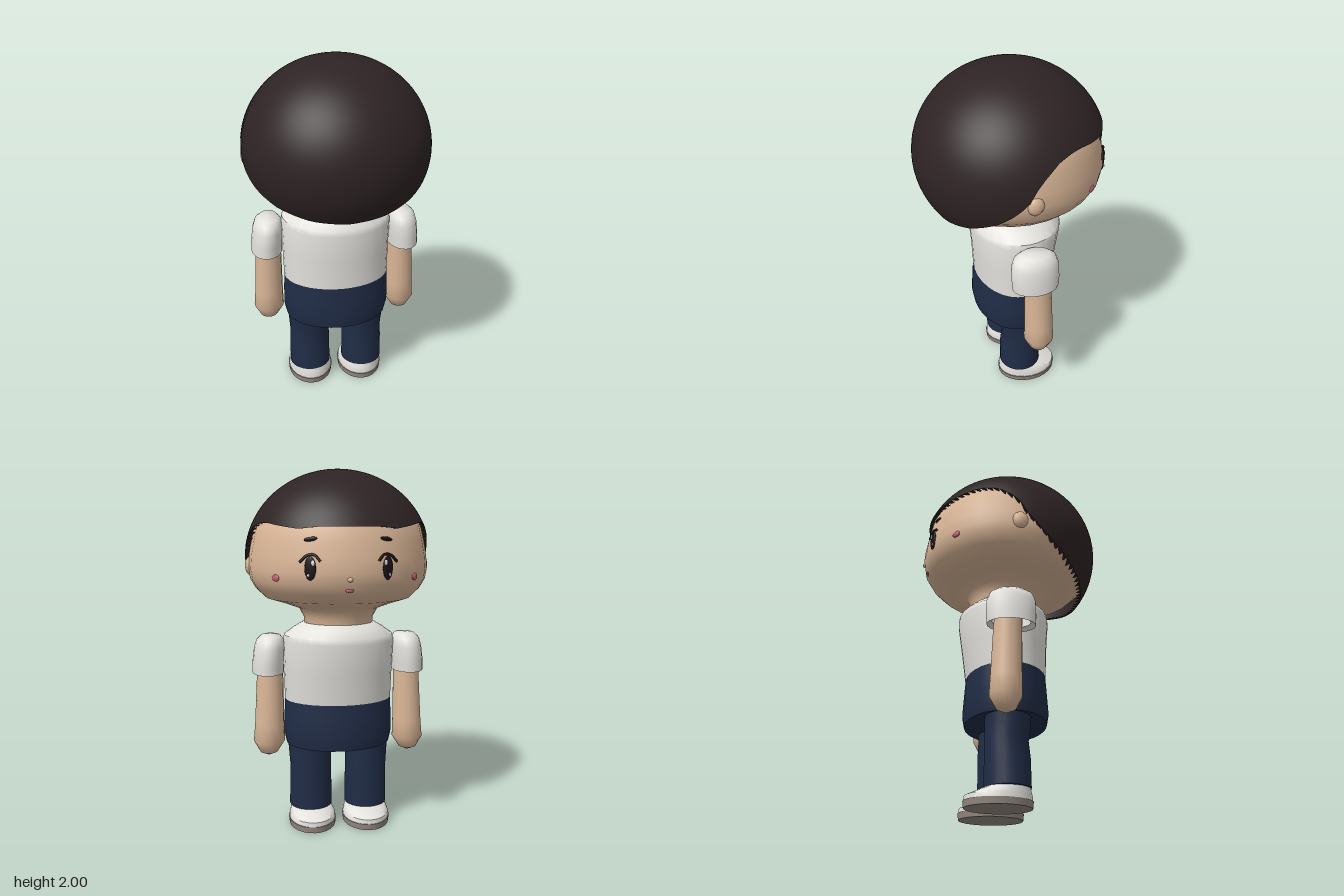
import * as THREE from 'three';
import { toCreasedNormals } from 'three/addons/utils/BufferGeometryUtils.js';

const mat = (name, color, side = THREE.FrontSide) => {
  const m = new THREE.MeshStandardMaterial({ color, side });
  m.name = name;
  return m;
};

// Piecewise linear lookup in a list of [key, value] pairs
function lookup(table, k) {
  if (k <= table[0][0]) return table[0][1];
  for (let i = 1; i < table.length; i++) {
    const [k0, v0] = table[i - 1], [k1, v1] = table[i];
    if (k <= k1) return v0 + (v1 - v0) * (k - k0) / (k1 - k0);
  }
  return table[table.length - 1][1];
}

// Stack of elliptical rings, bottom to top: [y, rx, rz, cx, cz]
function loft(rings, segments = 24, crease = 0.7) {
  const geo = new THREE.LatheGeometry(rings.map((r, i) => new THREE.Vector2(1, i)), segments);
  const p = geo.attributes.position;
  for (let i = 0; i < p.count; i++) {
    const [y, rx, rz, cx = 0, cz = 0] = rings[Math.round(p.getY(i))];
    p.setXYZ(i, cx + p.getX(i) * rx, y, cz + p.getZ(i) * rz);
  }
  return toCreasedNormals(geo, crease);
}

// Head radius by height, and the point of the face at x, y (the face looks to -z)
const HEAD = [[1.15, 0.175], [1.2, 0.178], [1.25, 0.205], [1.28, 0.31], [1.31, 0.405], [1.36, 0.456],
  [1.41, 0.485], [1.47, 0.495], [1.54, 0.489], [1.62, 0.474], [1.7, 0.455], [1.8, 0.39], [1.9, 0.25], [1.96, 0]];
const onFace = (x, y, lift = 0) => {
  const r = lookup(HEAD, y) + lift;
  return new THREE.Vector3(x, y, -Math.sqrt(r * r - x * x));
};

// Hairline height by angle from the front (0) to the back (PI)
const HAIRLINE = [[0, 1.70], [0.3, 1.70], [0.55, 1.688], [0.82, 1.703], [1.0, 1.715], [1.15, 1.715], [1.32, 1.695],
  [1.47, 1.645], [1.57, 1.59], [1.66, 1.51], [1.78, 1.45], [1.95, 1.385], [2.28, 1.31], [2.7, 1.262], [3.15, 1.245]];

function hairGeometry() {
  const rows = 28;
  const geo = new THREE.SphereGeometry(1, 80, rows);
  const p = geo.attributes.position;
  for (let i = 0; i < p.count; i++) {
    const row = Math.floor(i / 81), a = (i % 81) / 80 * Math.PI * 2;
    const edge = lookup(HAIRLINE, Math.acos(-Math.sin(a)));
    const polar = Math.acos((edge - 1.52) / 0.48) * Math.min(1, row / (rows - 1));
    const k = row === rows ? 0.93 : 1; // last row folds in as the rim
    const r = Math.sin(polar) * 0.512 * k;
    p.setXYZ(i, -Math.cos(a) * r, 1.52 + Math.cos(polar) * 0.48, Math.sin(a) * r);
  }
  return toCreasedNormals(geo, 0.8);
}

export function createModel() {
  const model = new THREE.Group();
  const skin = mat('skin', 0xdab697);
  const hair = mat('dark brown hair', 0x2e2324, THREE.DoubleSide);
  const shirt = mat('off white', 0xe3e2dd, THREE.DoubleSide);
  const navy = mat('navy', 0x202c46, THREE.DoubleSide);
  const sole = mat('sole taupe', 0x938980);
  const black = mat('eye black', 0x1a1315);
  const white = mat('highlight white', 0xf4f4f4);
  const pink = mat('blush pink', 0xc0606f);

  const add = (name, geo, material) => {
    const mesh = new THREE.Mesh(geo, material);
    mesh.name = name;
    model.add(mesh);
    return mesh;
  };
  // Flattened oval lying on the face
  const oval = (name, material, x, y, w, h, d, tilt = 0, lift = 0) => {
    const mesh = add(name, new THREE.SphereGeometry(1, 16, 10), material);
    const pos = onFace(x, y, lift);
    mesh.position.copy(pos);
    mesh.rotation.set(0, Math.atan2(pos.x, pos.z), tilt, 'YXZ');
    mesh.scale.set(w, h, d);
  };

  // Head with neck, and hair
  add('head', loft(HEAD.map(([y, r]) => [y, y < 1.26 ? r + 0.015 : r, r, 0, y < 1.26 ? -0.033 : 0]), 28, 0.9), skin);
  add('hair', hairGeometry(), hair);
  oval('nose', skin, 0, 1.44, 0.014, 0.012, 0.012);
  oval('mouth', pink, 0, 1.385, 0.022, 0.01, 0.008);

  // Torso and shorts
  add('shirt', loft([
    [0.73, 0.303, 0.22, 0, -0.012], [0.9, 0.307, 0.235, 0, -0.02], [1.07, 0.312, 0.254, 0, -0.026],
    [1.1, 0.305, 0.25, 0, -0.027], [1.14, 0.25, 0.212, 0, -0.03], [1.17, 0.2, 0.178, 0, -0.032], [1.17, 0, 0, 0, -0.03],
  ], 32), shirt);
  add('shorts', loft([
    [0.47, 0, 0, 0, -0.01], [0.47, 0.295, 0.222, 0, -0.012], [0.53, 0.308, 0.233, 0, -0.012],
    [0.64, 0.307, 0.226, 0, -0.012], [0.735, 0.302, 0.219, 0, -0.012],
  ], 32), navy);

  for (const s of [1, -1]) {
    const side = s > 0 ? 'left' : 'right';

    // Face details
    oval(side + 'Eye', black, s * 0.195, 1.495, 0.03, 0.06, 0.008);
    oval(side + 'EyeHighlight', white, s * 0.183, 1.522, 0.009, 0.014, 0.004, 0, 0.007);
    oval(side + 'EyeGlint', white, s * 0.205, 1.462, 0.006, 0.008, 0.004, 0, 0.007);
    oval(side + 'Brow', black, s * 0.19, 1.638, 0.036, 0.011, 0.007, s * 0.15);
    const lash = new THREE.CatmullRomCurve3([[0.145, 1.53], [0.175, 1.562], [0.21, 1.558], [0.245, 1.525]]
      .map(([x, y]) => onFace(s * x, y, 0.003)));
    add(side + 'Lash', new THREE.TubeGeometry(lash, 12, 0.007, 6), black);
    oval(side + 'Blush', pink, s * 0.36, 1.44, 0.024, 0.018, 0.009);

    // Ear
    const ear = add(side + 'Ear', new THREE.SphereGeometry(1, 10, 8), skin);
    ear.position.set(s * 0.482, 1.48, 0.003);
    ear.scale.set(0.03, 0.052, 0.044);

    // Arm and sleeve
    add(side + 'Arm', loft([
      [0.412, 0, 0, s * 0.4, -0.062], [0.435, 0.05, 0.05, s * 0.4, -0.062], [0.5, 0.088, 0.084, s * 0.397, -0.063],
      [0.6, 0.082, 0.081, s * 0.394, -0.06], [0.88, 0.073, 0.075, s * 0.387, -0.052], [1.0, 0.07, 0.072, s * 0.385, -0.045],
    ], 16, 0.9), skin);
    add(side + 'Sleeve', loft([
      [0.91, 0.07, 0.1, s * 0.395, -0.035], [0.89, 0.088, 0.128, s * 0.397, -0.035], [0.95, 0.088, 0.132, s * 0.395, -0.035],
      [1.03, 0.085, 0.13, s * 0.388, -0.033], [1.075, 0.076, 0.115, s * 0.383, -0.033],
      [1.097, 0.055, 0.085, s * 0.38, -0.033], [1.104, 0, 0, s * 0.38, -0.033],
    ], 20, 0.9), shirt);

    // Trouser leg
    add(side + 'Leg', loft([
      [0.095, 0.1, 0.1, s * 0.16, -0.022], [0.1, 0.122, 0.122, s * 0.16, -0.022], [0.25, 0.12, 0.119, s * 0.16, -0.022],
      [0.34, 0.118, 0.115, s * 0.16, -0.028], [0.42, 0.122, 0.12, s * 0.162, -0.02], [0.5, 0.125, 0.122, s * 0.165, -0.02],
    ], 24), navy);

    // Shoe
    add(side + 'Sole', loft([
      [0, 0, 0, s * 0.156, -0.067], [0, 0.132, 0.174, s * 0.156, -0.067], [0.035, 0.136, 0.178, s * 0.156, -0.067],
      [0.035, 0, 0, s * 0.156, -0.067],
    ], 24), sole);
    add(side + 'Shoe', loft([
      [0.03, 0.132, 0.174, s * 0.156, -0.067], [0.06, 0.13, 0.172, s * 0.156, -0.066], [0.075, 0.124, 0.152, s * 0.157, -0.05],
      [0.1, 0.112, 0.12, s * 0.16, -0.025], [0.105, 0, 0, s * 0.16, -0.022],
    ], 24, 0.9), shirt);
  }
  return model;
}
